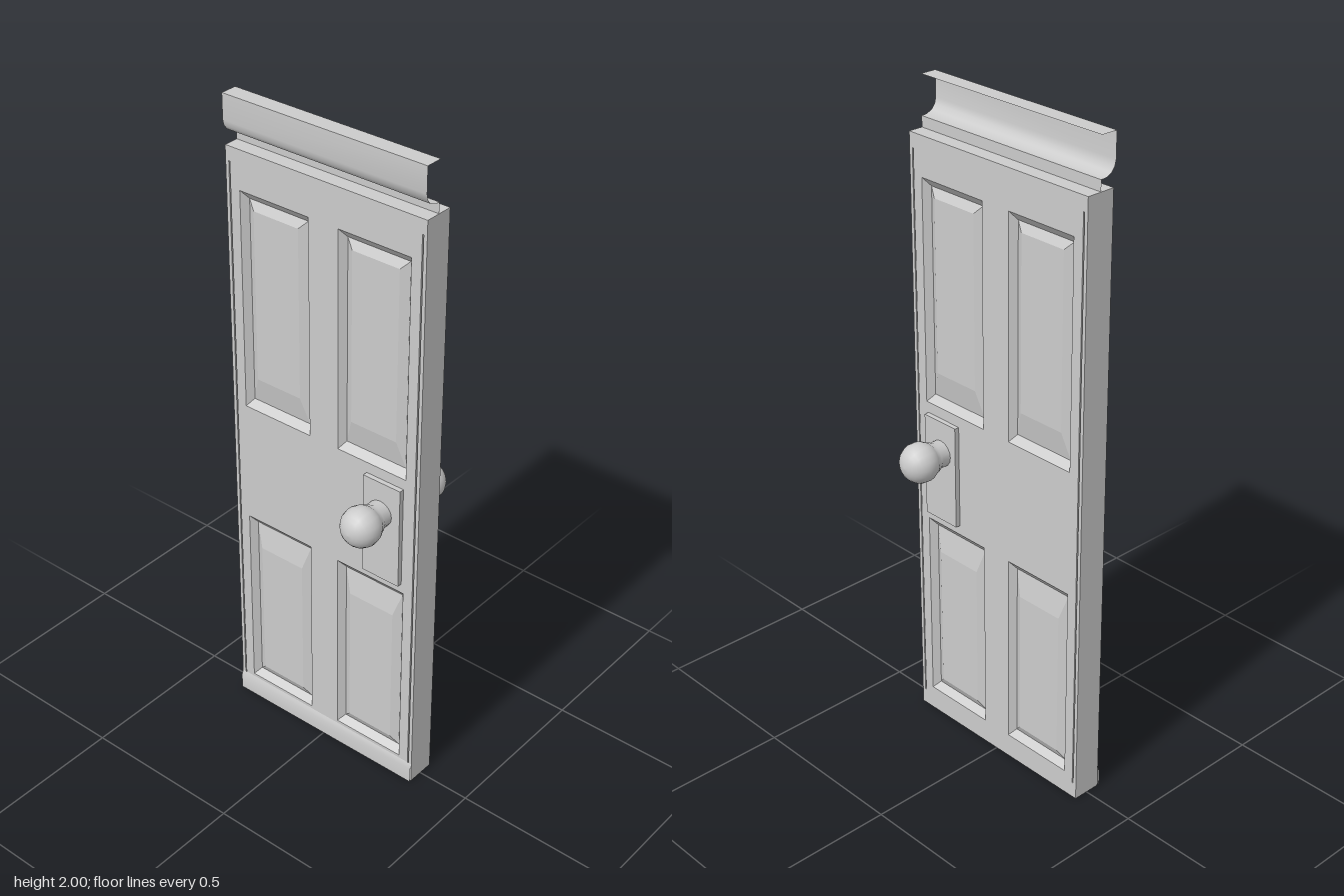
import * as THREE from 'three';
import { toCreasedNormals } from 'three/addons/utils/BufferGeometryUtils.js';

const mat = new THREE.MeshStandardMaterial({ color: 0xcccccc });
const thin = new THREE.MeshStandardMaterial({ color: 0xcccccc, side: THREE.DoubleSide });
const HALF = 0.045, W = 0.333, H = 1.853;

function add(parent, geometry, name, material = mat) {
  const mesh = new THREE.Mesh(geometry, material);
  mesh.name = name;
  parent.add(mesh);
  return mesh;
}

// Turns a list of triangles' corners into a geometry
function fromCorners(corners, crease) {
  const g = new THREE.BufferGeometry();
  g.setAttribute('position', new THREE.Float32BufferAttribute(corners.flat(), 3));
  g.computeVertexNormals();
  return crease ? toCreasedNormals(g, crease) : g;
}

function rectHole(u0, u1, y0, y1) {
  return new THREE.Path([[u0, y0], [u0, y1], [u1, y1], [u1, y0]].map(p => new THREE.Vector2(...p)));
}

// Nested rectangles [u0, u1, y0, y1, x] joined by sloping bands, closed by the last one
function panelGeometry(rings) {
  const out = [];
  const loops = rings.map(([a, b, c, d, x]) => [[x, c, -a], [x, c, -b], [x, d, -b], [x, d, -a]]);
  for (let i = 0; i + 1 < loops.length; i++)
    for (let k = 0; k < 4; k++) {
      const n = (k + 1) % 4, A = loops[i], B = loops[i + 1];
      out.push(A[k], A[n], B[n], A[k], B[n], B[k]);
    }
  const [p, q, r, s] = loops.at(-1);
  out.push(p, q, r, p, r, s);
  return fromCorners(out);
}

// Open profile of [x, y] points swept across the full door width
function sweep(profile) {
  const out = [];
  for (let i = 0; i + 1 < profile.length; i++) {
    const [a, b] = [profile[i], profile[i + 1]];
    const A = [...a, W], B = [...b, W], C = [...b, -W], D = [...a, -W];
    out.push(A, B, C, A, C, D);
  }
  return fromCorners(out, 0.6);
}

export function createModel() {
  const root = new THREE.Group();
  root.name = 'panelledDoor';

  // Rows of panels: y of opening, sunken edge and raised field
  const rows = [
    { name: 'lowerPanel', outer: [0.075, 0.68], sunk: [0.095, 0.655], field: [0.122, 0.577] },
    { name: 'upperPanel', outer: [1.063, 1.735], sunk: [1.085, 1.71], field: [1.164, 1.685] },
  ];

  // Door leaf with panel openings and a fine groove near each edge
  const shape = new THREE.Shape([[-W, 0], [W, 0], [W, H], [-W, H]].map(p => new THREE.Vector2(...p)));
  for (const s of [-1, 1]) {
    const c = s * 0.168;
    for (const r of rows) shape.holes.push(rectHole(c - 0.118, c + 0.118, ...r.outer));
    shape.holes.push(rectHole(s * 0.32 - 0.002, s * 0.32 + 0.002, 0.05, 1.81));
  }
  const leaf = new THREE.ExtrudeGeometry(shape, { depth: 2 * HALF, bevelEnabled: false });
  leaf.translate(0, 0, -HALF).rotateY(Math.PI / 2);
  add(root, leaf, 'doorLeaf');
  for (const s of [-1, 1])
    add(root, new THREE.BoxGeometry(0.078, 1.77, 0.008), 'grooveFloor').position.set(0, 0.93, s * 0.32);

  // Everything repeated on both faces of the door
  const knobProfile = [[0.04, 0.055], [0.04, 0.085], [0.046, 0.096]];
  for (let i = 0; i <= 10; i++) {
    const a = THREE.MathUtils.lerp(2.35, 0, i / 10);
    knobProfile.push([0.06 * Math.sin(a), 0.14 + 0.058 * Math.cos(a)]);
  }
  const knobPoints = knobProfile.map(p => new THREE.Vector2(...p));

  for (const side of [1, -1]) {
    const face = new THREE.Group();
    face.name = side > 0 ? 'leftFace' : 'rightFace';
    face.rotation.y = side > 0 ? 0 : Math.PI;
    root.add(face);

    for (const c of [-0.168, 0.168])
      for (const r of rows)
        add(face, panelGeometry([
          [c - 0.118, c + 0.118, ...r.outer, HALF],
          [c - 0.102, c + 0.102, ...r.sunk, 0.025],
          [c - 0.077, c + 0.077, ...r.field, 0.038],
        ]), r.name);

    // Back plate and round knob
    const z = side * 0.212;
    add(face, new THREE.BoxGeometry(0.02, 0.32, 0.127), 'knobPlate').position.set(0.05, 0.87, side * 0.2155);
    const knob = new THREE.LatheGeometry(knobPoints, 16);
    knob.rotateZ(-Math.PI / 2);
    add(face, knob, 'doorKnob').position.set(0, 0.93, z);
  }

  // Open drip strip above the door
  add(root, sweep([
    [0, 2], [-0.051, 2], [-0.051, 1.925], [-0.047, 1.908], [-0.036, 1.894],
    [-0.018, 1.886], [0, 1.885], [0, 1.85],
  ]), 'topStrip', thin);

  // Weather strip along the foot of one face
  add(root, sweep([[-0.045, 0.065], [-0.051, 0.05], [-0.051, 0]]), 'bottomStrip', thin);

  return root;
}
